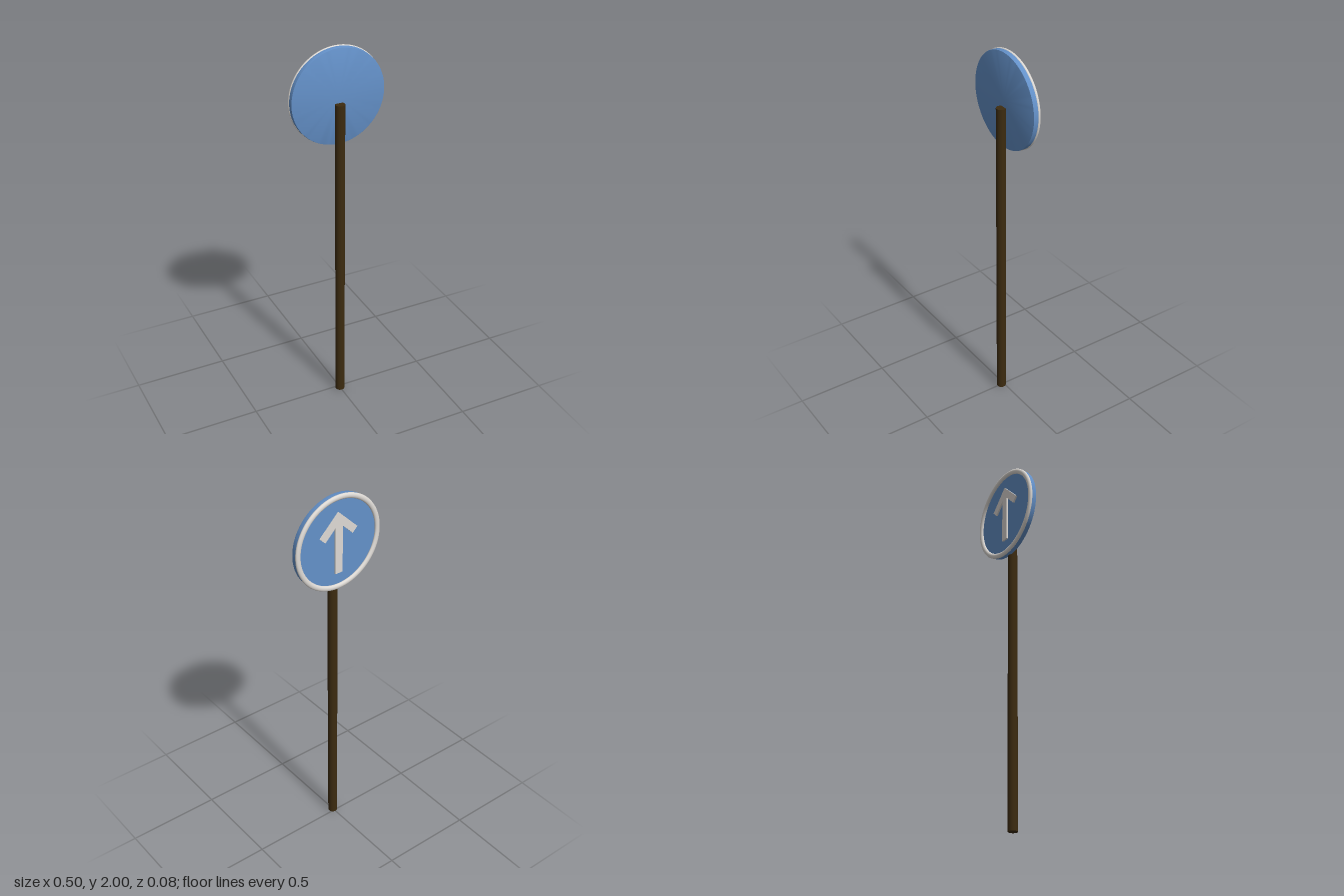
import * as THREE from 'three';
import { toCreasedNormals } from 'three/addons/utils/BufferGeometryUtils.js';

const SIGN_Y = 1.7475;

export function createModel() {
  const blue = new THREE.MeshStandardMaterial({ name: 'signBlue', color: 0x6491c9 });
  const white = new THREE.MeshStandardMaterial({ name: 'offWhite', color: 0xdedad5 });
  const brown = new THREE.MeshStandardMaterial({ name: 'darkBrown', color: 0x3c2b10 });

  const model = new THREE.Group();
  model.name = 'roadSign';
  const add = (name, geometry, material, y, z) => {
    const mesh = new THREE.Mesh(geometry, material);
    mesh.name = name;
    mesh.position.set(0, y, z);
    model.add(mesh);
    return mesh;
  };

  // Round post standing on the ground
  add('post', new THREE.CylinderGeometry(0.025, 0.025, 1.715, 32), brown, 0.8575, 0.015);

  // Disc with softly bevelled edges, its face turned to -z
  const profile = [[0, 0], [0.245, 0], [0.248, 0.001], [0.249, 0.004], [0.249, 0.028], [0, 0.028]]
    .map(([r, h]) => new THREE.Vector2(r, h));
  const disc = new THREE.LatheGeometry(profile, 80).rotateX(-Math.PI / 2);
  add('signDisc', toCreasedNormals(disc, 0.6), blue, SIGN_Y, 0);

  // Flattened ring around the face
  const rim = new THREE.TorusGeometry(0.2385, 0.014, 16, 80).scale(1, 1, 0.0095 / 0.014);
  add('signRim', rim, white, SIGN_Y, -0.0315);

  // Raised arrow pointing up, mirrored about its shaft
  const half = [[0.11, 0.055], [0.082, 0.027], [0.022, 0.087], [0.022, -0.163]];
  const outline = [[0, 0.163], ...half, ...half.map(([x, y]) => [-x, y]).reverse()];
  const shape = new THREE.Shape(outline.map(([x, y]) => new THREE.Vector2(x, y)));
  const arrow = new THREE.ExtrudeGeometry(shape, { depth: 0.012, bevelEnabled: false });
  add('arrow', arrow, white, SIGN_Y, -0.037);

  return model;
}
